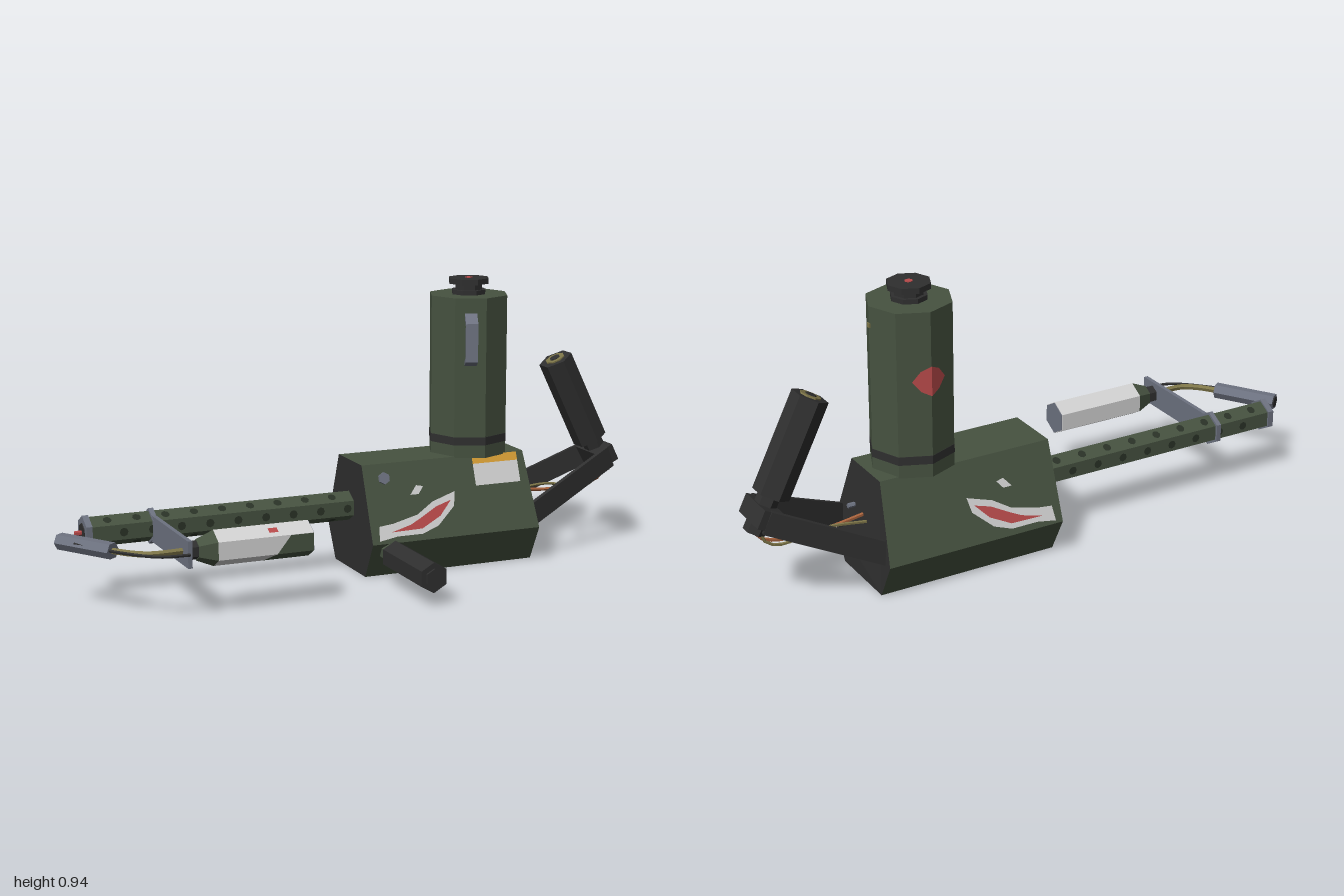
import * as THREE from 'three';

const V = (x, y, z) => new THREE.Vector3(x, y, z);
const CZ = -0.1675; // centre plane of the body

export function createModel() {
  const root = new THREE.Group();
  const mat = (name, color) => {
    const m = new THREE.MeshStandardMaterial({ color });
    m.name = name;
    return m;
  };
  const green = mat('armyGreen', 0x465240), hole = mat('holeGreen', 0x2a3227), black = mat('black', 0x2f2f2f);
  const steel = mat('steel', 0x6d7280), white = mat('white', 0xd2d2d2), red = mat('red', 0xb84a4a);
  const amber = mat('amber', 0xd9a036), olive = mat('brass', 0x7d7548), copper = mat('copper', 0xa8623c);

  // adds a faceted mesh
  const add = (name, geo, material) => {
    const g = geo.index ? geo.toNonIndexed() : geo;
    g.computeVertexNormals();
    const m = new THREE.Mesh(g, material);
    m.name = name;
    root.add(m);
    return m;
  };
  // prism from a to b
  const rod = (name, a, b, r0, r1, sides, material, start = 0) => {
    const d = b.clone().sub(a);
    const g = new THREE.CylinderGeometry(r1, r0, d.length(), sides, 1, false, start);
    g.applyQuaternion(new THREE.Quaternion().setFromUnitVectors(V(0, 1, 0), d.normalize()));
    const c = a.clone().add(b).multiplyScalar(0.5);
    return add(name, g.translate(c.x, c.y, c.z), material);
  };
  const rodX = (name, x0, x1, y, z, r0, r1, material) =>
    rod(name, V(x0, y, z), V(x1, y, z), r0, r1, 6, material, Math.PI / 2);
  // rectangular beam from a to b
  const beam = (name, a, b, w, h, material) => {
    const g = new THREE.BoxGeometry(w, h, a.distanceTo(b));
    const m = add(name, g, material);
    m.position.copy(a).add(b).multiplyScalar(0.5);
    m.lookAt(b);
    return m;
  };
  const tube = (name, pts, r, material) =>
    add(name, new THREE.TubeGeometry(new THREE.CatmullRomCurve3(pts.map(p => V(...p))), 14, r, 5), material);
  // painted face: outline in x,y with depth given by zOf(y, x)
  const decal = (name, pts, material, zOf, back = false) => {
    const g = new THREE.ShapeGeometry(new THREE.Shape(pts.map(p => new THREE.Vector2(...p))));
    const p = g.attributes.position;
    for (let i = 0; i < p.count; i++) p.setZ(i, zOf(p.getY(i), p.getX(i)));
    if (back) g.setIndex(Array.from(g.index.array).reverse());
    return add(name, g, material);
  };
  const ring = (cx, cy, rx, ry, n = 8) => Array.from({ length: n }, (_, i) => {
    const t = i / n * Math.PI * 2;
    return [cx + rx * Math.cos(t), cy + ry * Math.sin(t)];
  });

  // Body: six-sided housing with dark end plates and a leaning rear
  const half = [[-0.125, 0], [-0.187, 0.12], [-0.094, 0.365]];
  const outline = [...half, ...half.map(([u, y]) => [-u, y]).reverse()];
  const body = new THREE.ExtrudeGeometry(
    new THREE.Shape(outline.map(([u, y]) => new THREE.Vector2(u - CZ, y))), { depth: 0.605, bevelEnabled: false });
  body.rotateY(Math.PI / 2).translate(0.02, 0, 0);
  const bp = body.attributes.position;
  for (let i = 0; i < bp.count; i++)
    if (bp.getX(i) > 0.5 && bp.getY(i) > 0.12) bp.setX(i, 0.625 - (bp.getY(i) - 0.12) * 0.08);
  add('body', body, [black, green]);

  // Painted mouth and eye on both sloping sides
  const mouth = [[0.045, 0.13], [0.05, 0.175], [0.1, 0.18], [0.19, 0.2], [0.25, 0.235], [0.335, 0.26],
    [0.325, 0.215], [0.26, 0.16], [0.2, 0.14], [0.11, 0.14]];
  const tongue = [[0.09, 0.155], [0.16, 0.172], [0.2, 0.19], [0.26, 0.22], [0.315, 0.235], [0.27, 0.19], [0.2, 0.157]];
  const slope = (s, off) => y => CZ + s * (0.187 - (y - 0.12) * 0.38 + off);
  for (const s of [1, -1]) {
    decal('mouth', mouth, white, slope(s, 0.003), s < 0);
    decal('mouthInside', tongue, red, slope(s, 0.006), s < 0);
    decal('eye', [[0.175, 0.262], [0.205, 0.262], [0.225, 0.285], [0.2, 0.29]], white, slope(s, 0.003), s < 0);
  }
  // Label, bolt and rear screw
  decal('label', [[0.415, 0.27], [0.58, 0.27], [0.58, 0.338], [0.415, 0.338]], white, slope(1, 0.003));
  decal('labelStripe', [[0.415, 0.338], [0.58, 0.338], [0.58, 0.364], [0.415, 0.364]], amber, slope(1, 0.003));
  rod('bolt', V(0.09, 0.315, -0.07), V(0.09, 0.322, -0.047), 0.02, 0.02, 6, steel);
  rod('rearScrew', V(0.61, 0.225, -0.107), V(0.64, 0.225, -0.107), 0.008, 0.008, 6, steel);

  // Fuel tank with band and filler cap
  const stack = (name, y0, y1, r, m) => rod(name, V(0.447, y0, CZ - 0.001), V(0.447, y1, CZ - 0.001), r, r, 8, m);
  stack('tank', 0.36, 0.89, 0.134, green);
  stack('tankBand', 0.403, 0.43, 0.1352, black);
  stack('capBase', 0.885, 0.905, 0.058, black);
  stack('capNeck', 0.905, 0.928, 0.046, black);
  stack('capTop', 0.925, 0.943, 0.069, black);
  stack('capDot', 0.943, 0.945, 0.013, red);

  // Red patch wrapped over the rear tank edge, small mark on the side edge
  for (const s of [1, -1])
    decal('tankPatch', [[0.447, 0.625], [0.447 + s * 0.03, 0.64], [0.447 + s * 0.055, 0.672],
      [0.447 + s * 0.03, 0.705], [0.447, 0.72]], red,
      (y, x) => CZ - 0.138 + Math.abs(x - 0.447) * 0.414, true);
  add('tankMark', new THREE.BoxGeometry(0.006, 0.014, 0.014).translate(0.58, 0.83, CZ), olive);

  // Tank handle, set square to the front left facet
  const handle = new THREE.Shape();
  handle.moveTo(0.115, 0.665); handle.lineTo(0.183, 0.69); handle.lineTo(0.183, 0.815); handle.lineTo(0.115, 0.845);
  const gap = new THREE.Path();
  gap.moveTo(0.118, 0.682); gap.lineTo(0.118, 0.827); gap.lineTo(0.169, 0.806); gap.lineTo(0.169, 0.7);
  handle.holes.push(gap);
  const hg = new THREE.ExtrudeGeometry(handle, { depth: 0.04, bevelEnabled: false });
  hg.translate(0, 0, -0.02).rotateY(-Math.PI / 2 - Math.PI / 8).translate(0.447, 0, CZ);
  add('tankHandle', hg, steel);

  // Barrel with rows of cooling holes on every facet
  const by = 0.21, bz = -0.178;
  rodX('barrel', -0.87, 0.03, by, bz, 0.049, 0.049, green);
  rodX('muzzleCollar', -0.885, -0.865, by, bz, 0.055, 0.055, steel);
  rodX('muzzleBore', -0.888, -0.884, by, bz, 0.032, 0.032, black);
  rodX('muzzleTip', -0.91, -0.88, by, bz, 0.008, 0.008, red);
  for (let f = 0; f < 6; f++) {
    const a = f * Math.PI / 3;
    for (let i = 0; i < 9; i++) {
      const g = new THREE.CircleGeometry(0.014, 8).translate(0, 0, 0.0445).rotateX(a);
      add('coolingHole', g.translate(-0.81 + i * 0.095 + (f % 3 ? 0 : 0.047), by, bz), hole);
    }
  }

  // Bracket carrying the igniter bottle
  add('bracket', new THREE.BoxGeometry(0.014, 0.085, 0.365).translate(-0.661, 0.208, 0.022), steel);
  rodX('barrelClamp', -0.669, -0.653, by, bz, 0.058, 0.058, steel);
  const cy = 0.208, cz = 0.153;
  rodX('bottleValve', -0.655, -0.61, cy, cz, 0.03, 0.03, black);
  rodX('bottleNeck', -0.625, -0.57, cy, cz, 0.034, 0.057, green);
  rodX('bottle', -0.57, -0.26, cy, cz, 0.057, 0.057, white);
  rodX('bottleBase', -0.261, -0.258, cy, cz, 0.055, 0.055, steel);
  // Bottle paint follows the facets
  const bottleZ = y => cz + 0.0515 - Math.max(0, Math.abs(y - cy) - 0.0285) * 1.732;
  decal('bottleCamo', [[-0.38, 0.18], [-0.26, 0.18], [-0.26, 0.236], [-0.335, 0.236]], green, bottleZ);
  decal('bottleCamoLower', [[-0.41, 0.152], [-0.26, 0.152], [-0.26, 0.18], [-0.38, 0.18]], green, bottleZ);
  decal('bottleMark', [[-0.4, 0.246], [-0.37, 0.246], [-0.37, 0.256], [-0.4, 0.256]], red, bottleZ);

  // Igniter pipe, wire and nozzle
  tube('igniterPipe', [[-0.65, 0.208, 0.15], [-0.77, 0.208, 0.15], [-0.82, 0.208, 0.115], [-0.87, 0.208, 0.05]], 0.01, olive);
  tube('igniterWire', [[-0.66, 0.208, 0.205], [-0.75, 0.208, 0.192], [-0.85, 0.21, 0.1], [-0.95, 0.215, -0.04]], 0.005, black);
  rod('igniterNozzle', V(-0.86, 0.208, 0.065), V(-0.975, 0.208, -0.115), 0.027, 0.027, 6, steel);
  rod('igniterBore', V(-0.97, 0.208, -0.108), V(-0.976, 0.208, -0.117), 0.019, 0.019, 6, black);

  // Side grip
  rod('sideGripNeck', V(0.08, 0.091, -0.05), V(0.08, 0.091, 0.07), 0.03, 0.03, 6, green);
  rod('sideGrip', V(0.08, 0.091, 0.06), V(0.08, 0.091, 0.35), 0.049, 0.049, 6, black);
  rod('sideGripEnd', V(0.08, 0.091, 0.35), V(0.08, 0.091, 0.357), 0.03, 0.03, 6, black);

  // Rear struts, crossbar and grip
  for (const s of [1, -1])
    beam('rearStrut', V(0.605, 0.147, CZ + s * 0.147), V(0.96, 0.308, CZ + s * 0.063), 0.015, 0.075, black);
  const bar = add('crossbar', new THREE.BoxGeometry(0.07, 0.06, 0.136), black);
  bar.position.set(0.948, 0.308, CZ);
  bar.rotation.z = 0.46;
  rod('rearGripCore', V(0.977, 0.253, CZ), V(0.91, 0.385, CZ), 0.035, 0.035, 6, black);
  rod('rearGrip', V(0.917, 0.362, CZ), V(0.777, 0.648, CZ), 0.058, 0.058, 6, black);
  rod('rearGripCap', V(0.78, 0.642, CZ), V(0.775, 0.652, CZ), 0.034, 0.034, 8, olive);
  rod('rearGripCapCentre', V(0.78, 0.642, CZ), V(0.774, 0.654, CZ), 0.018, 0.018, 8, black);

  // Trigger wires
  tube('copperWire', [[0.61, 0.215, -0.16], [0.75, 0.2, -0.163], [0.92, 0.21, -0.165], [0.965, 0.235, -0.166], [0.97, 0.27, -0.167]], 0.006, copper);
  tube('brassWire', [[0.61, 0.2, -0.185], [0.75, 0.215, -0.182], [0.9, 0.195, -0.177], [0.945, 0.215, -0.175], [0.965, 0.27, -0.172]], 0.005, olive);
  return root;
}
